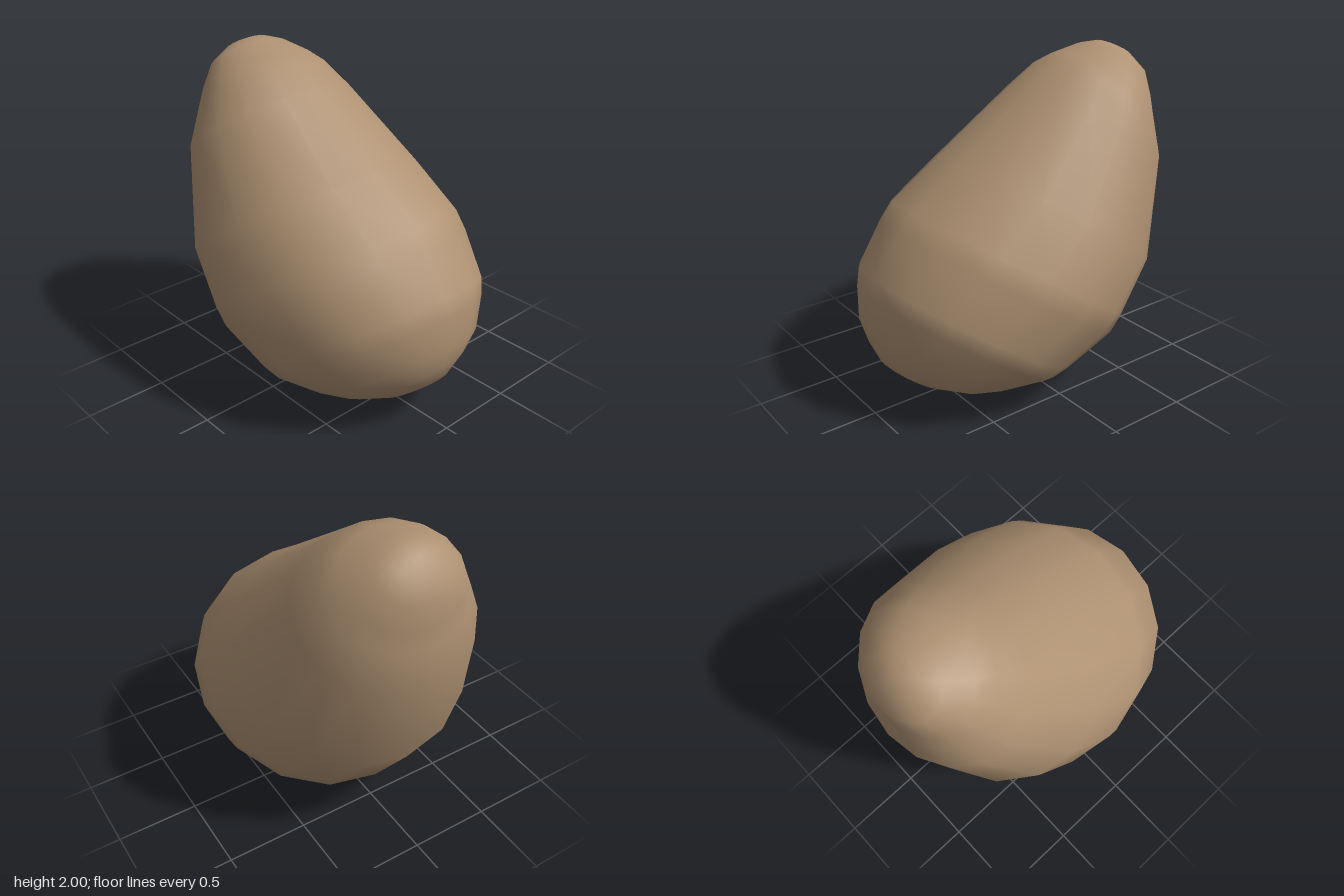
import * as THREE from 'three';

// Tilted egg axis and the direction across it, as [y, z]
const AXIS = [0.83, -0.558];
const ACROSS = [0.558, 0.83];
const SIDES = 16;

// Cross-sections: [distance along axis, back edge, front edge, half width]
const RINGS = [
  [-0.27, 0.52, 0.92, 0.21],
  [-0.2, 0.3, 1.02, 0.38],
  [-0.1, 0.14, 1.13, 0.52],
  [0.07, -0.108, 1.22, 0.67],
  [0.17, -0.17, 1.257, 0.72],
  [0.47, -0.337, 1.25, 0.795],
  [0.6, -0.342, 1.232, 0.805],
  [0.975, -0.357, 1.085, 0.755],
  [1.57, -0.135, 0.865, 0.555],
  [1.77, 0.02, 0.792, 0.44],
  [1.87, 0.096, 0.715, 0.375],
  [2.0, 0.185, 0.595, 0.26],
  [2.06, 0.31, 0.515, 0.14],
];
const BOTTOM_POLE = [-0.295, 0.74];
const TOP_POLE = [2.085, 0.41];

function eggGeometry() {
  const positions = [];
  const index = [];
  const addPoint = (x, along, across) => positions.push(
    x,
    along * AXIS[0] + across * ACROSS[0],
    along * AXIS[1] + across * ACROSS[1],
  );

  for (const [along, back, front, halfWidth] of RINGS) {
    for (let j = 0; j < SIDES; j++) {
      const a = (j / SIDES) * Math.PI * 2;
      addPoint(halfWidth * Math.sin(a), along, (front + back) / 2 + ((front - back) / 2) * Math.cos(a));
    }
  }
  const bottom = RINGS.length * SIDES;
  const top = bottom + 1;
  addPoint(0, ...BOTTOM_POLE);
  addPoint(0, ...TOP_POLE);

  const last = (RINGS.length - 1) * SIDES;
  for (let j = 0; j < SIDES; j++) {
    const k = (j + 1) % SIDES;
    index.push(bottom, k, j, last + j, last + k, top);
    for (let row = 0; row < last; row += SIDES) {
      const a = row + j, b = row + k;
      index.push(a, b, a + SIDES, b, b + SIDES, a + SIDES);
    }
  }

  const geometry = new THREE.BufferGeometry();
  geometry.setAttribute('position', new THREE.Float32BufferAttribute(positions, 3));
  geometry.setIndex(index);
  geometry.computeVertexNormals();
  return geometry;
}

export function createModel() {
  const group = new THREE.Group();
  group.name = 'leaningEgg';
  const shell = new THREE.MeshStandardMaterial({ color: 0xae9172 });
  shell.name = 'warm brown';
  const egg = new THREE.Mesh(eggGeometry(), shell);
  egg.name = 'eggBody';
  group.add(egg);
  return group;
}
